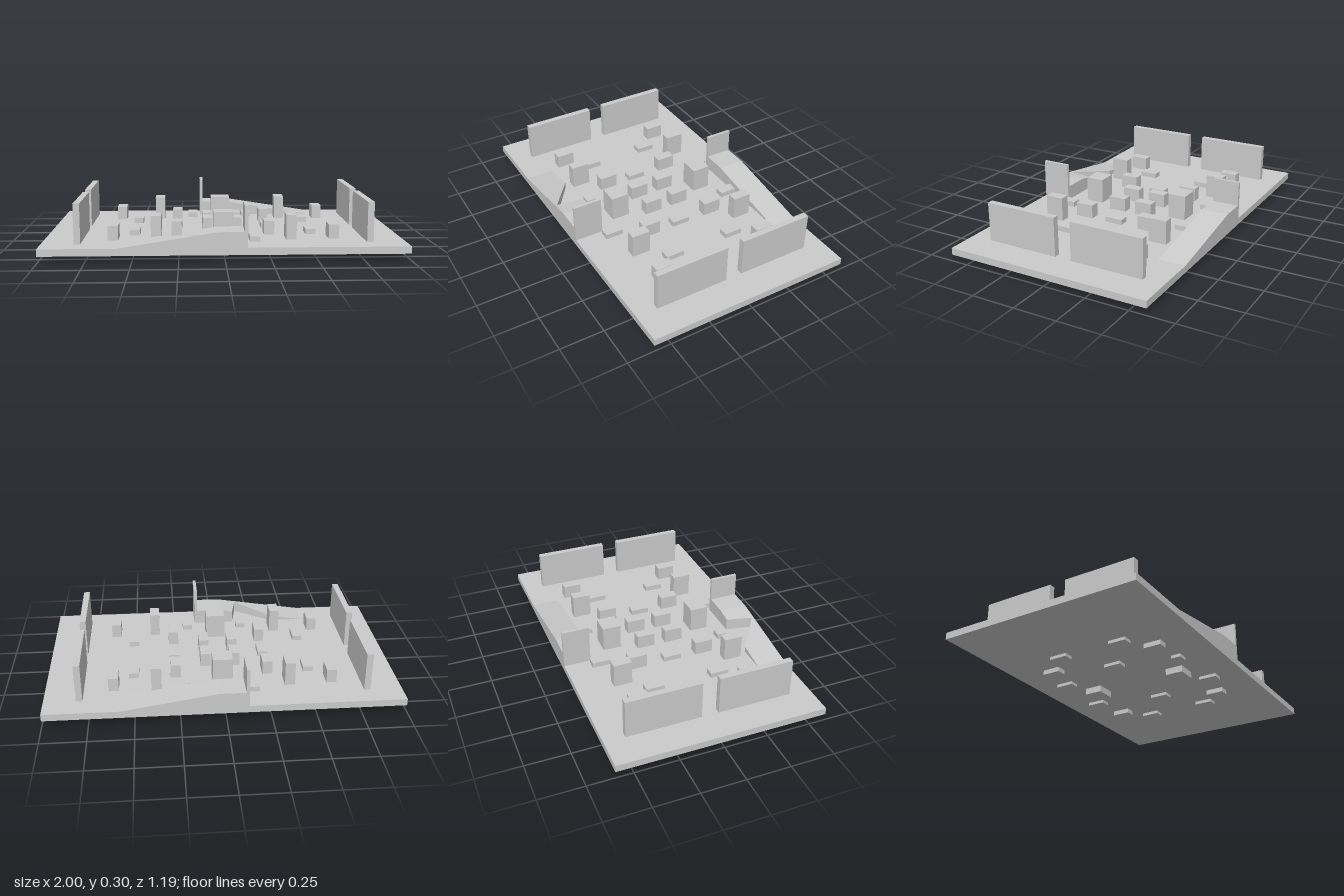
import * as THREE from 'three';

const material = new THREE.MeshStandardMaterial({ color: 0xcccccc, flatShading: true });
const DECK = 0.08;      // top of the floor slab
const PLATFORM = 0.165; // top of the ramps

export function createModel() {
  const model = new THREE.Group();

  const add = (name, geometry) => {
    const mesh = new THREE.Mesh(geometry, material);
    mesh.name = name;
    model.add(mesh);
  };

  // Box given by its extents on each axis
  const box = (name, x0, x1, y0, y1, z0, z1) => {
    const g = new THREE.BoxGeometry(x1 - x0, y1 - y0, z1 - z0);
    g.translate((x0 + x1) / 2, (y0 + y1) / 2, (z0 + z1) / 2);
    add(name, g);
  };

  // Upright prism over an [x, z] outline, its top following a height rule
  const prism = (name, outline, height) => {
    const shape = new THREE.Shape(outline.map(([x, z]) => new THREE.Vector2(x, -z)));
    const g = new THREE.ExtrudeGeometry(shape, { depth: 1, bevelEnabled: false });
    g.rotateX(-Math.PI / 2);
    const p = g.attributes.position;
    for (let i = 0; i < p.count; i++) {
      p.setY(i, p.getY(i) > 0.5 ? height(p.getX(i)) : DECK - 0.005);
    }
    g.computeVertexNormals();
    add(name, g);
  };

  // Floor slab
  box('floor', -1, 1, 0.04, DECK, -0.597, 0.597);

  // Side walls with a central gap
  for (const s of [-1, 1]) {
    const x = s * 0.802;
    box('sideWall', x - 0.018, x + 0.018, DECK, 0.303, 0.048, 0.475);
    box('sideWall', x - 0.018, x + 0.018, DECK, 0.303, -0.478, -0.05);
  }

  // Cover blocks: [x, z, bottom, top], mirrored left to right
  const blocks = [
    [0.617, -0.33, 0.06, 0.16], [0.617, 0.323, 0.06, 0.16],
    [0.377, -0.34, 0.013, 0.218], [0.377, 0.333, 0.013, 0.218],
    [0.505, -0.197, 0.022, 0.11], [0.505, 0.19, 0.022, 0.11],
    [0.265, -0.208, 0.06, 0.16], [0.265, 0.2, 0.06, 0.16],
    [0.265, 0.004, 0.022, 0.11],
    [0.17, -0.396, 0.022, 0.11], [0.17, 0.39, 0.022, 0.11],
    [0.085, -0.09, 0.06, 0.16], [0.085, 0.083, 0.06, 0.16],
  ];
  for (const [x, z, bottom, top] of blocks) {
    for (const s of [-1, 1]) {
      // The block beside the ramp notch is cut short
      const front = s < 0 && x === 0.17 && z > 0 ? 0.395 : z + 0.053;
      box('coverBlock', s * x - 0.029, s * x + 0.029, bottom, top, z - 0.053, front);
    }
  }

  // Large centre blocks
  for (const z of [-0.283, 0.275]) {
    box('centreBlock', -0.057, 0.057, 0.002, 0.226, z - 0.053, z + 0.053);
  }

  // Ramps rising to a platform, with an upright screen at the high end
  const rise = (x) => DECK + (PLATFORM - DECK) * (0.58 - Math.abs(x)) / 0.54;
  prism('backRamp', [[0.04, -0.597], [0.58, -0.597], [0.58, -0.44], [0.04, -0.44]], rise);
  box('backPlatform', -0.108, 0.04, DECK - 0.005, PLATFORM, -0.597, -0.44);
  box('backScreen', -0.124, -0.106, DECK, 0.306, -0.597, -0.44);

  // Front ramp has a wedge-shaped notch in its inner edge
  prism('frontRamp', [
    [-0.58, 0.43], [-0.375, 0.43], [-0.155, 0.585], [-0.125, 0.43],
    [-0.04, 0.43], [-0.04, 0.597], [-0.58, 0.597],
  ], rise);
  box('frontPlatform', -0.04, 0.104, DECK - 0.005, PLATFORM, 0.43, 0.597);
  box('frontScreen', 0.102, 0.12, DECK, 0.306, 0.43, 0.597);

  return model;
}
